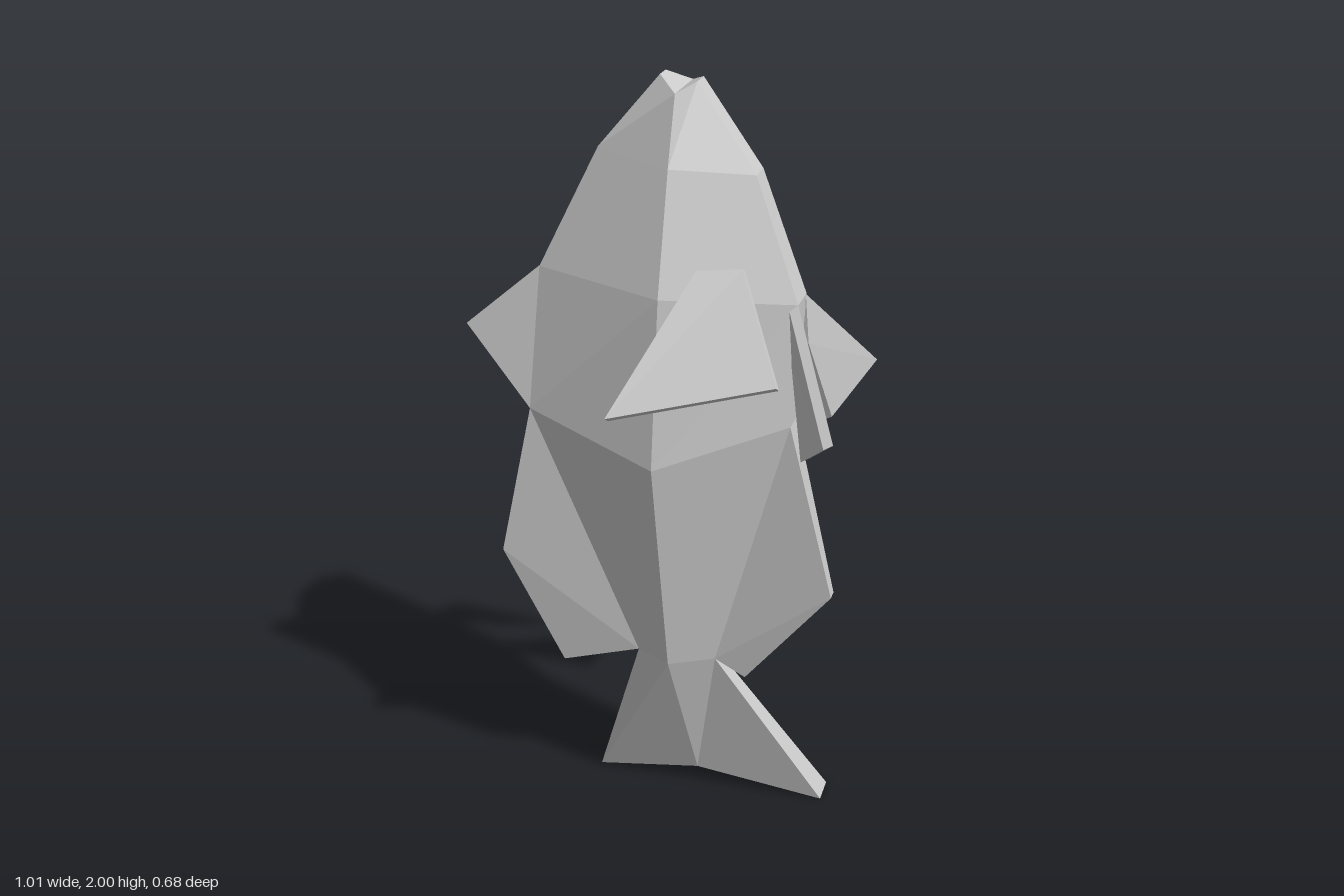
import * as THREE from 'three';

const material = new THREE.MeshStandardMaterial({ color: 0xcccccc, flatShading: true });

// Closed faceted solid through rings of equal point count, wound outward.
function loft(name, rings) {
  const n = rings[0].length, tris = [];
  for (let i = 0; i < rings.length - 1; i++) {
    const r = rings[i], s = rings[i + 1];
    for (let j = 0; j < n; j++) {
      const k = (j + 1) % n;
      tris.push([r[j], s[j], r[k]], [r[k], s[j], s[k]]);
    }
  }
  const end = rings[rings.length - 1];
  for (let j = 1; j < n - 1; j++) {
    const a = (1 + j) % n, b = (2 + j) % n;
    tris.push([rings[0][1], rings[0][a], rings[0][b]], [end[1], end[b], end[a]]);
  }
  // Signed volume tells whether the winding must be reversed
  let volume = 0;
  const v = (p) => new THREE.Vector3(...p);
  for (const [a, b, c] of tris) volume += v(a).dot(v(b).cross(v(c)));
  if (volume < 0) tris.forEach((t) => t.reverse());
  const geometry = new THREE.BufferGeometry();
  geometry.setAttribute('position', new THREE.Float32BufferAttribute(tris.flat(2), 3));
  geometry.computeVertexNormals();
  const mesh = new THREE.Mesh(geometry, material);
  mesh.name = name;
  return mesh;
}

// Six-sided section: back edge, near flank, belly edge, far flank.
// Each entry is [x, y, z front, z rear].
function section(back, flank, belly) {
  const front = (p) => [p[0], p[1], p[2]], rear = (p) => [p[0], p[1], p[3]];
  return [front(back), front(flank), front(belly), rear(belly), rear(flank), rear(back)];
}

// Flat fin in the body's middle plane; points are [x, y, z front, z rear].
function medianFin(name, points) {
  return loft(name, [
    points.map(([x, y, z]) => [x, y, z]),
    points.map(([x, y, , z]) => [x, y, z]),
  ]);
}

// Pair of fins mirrored to both flanks; offset gives the thickness.
function pairedFins(name, points, offset, farScale) {
  const pair = new THREE.Group();
  pair.name = name + 's';
  const inner = points.map((p) => p.map((c, i) => c + offset[i]));
  for (const [side, scale] of [['near', 1], ['far', -farScale]]) {
    const place = (ring) => ring.map(([x, y, z]) => [x, y, z * scale]);
    pair.add(loft(side + name, [place(points), place(inner)]));
  }
  return pair;
}

export function createModel() {
  const fish = new THREE.Group();
  fish.name = 'fish';

  // Body from mouth down to the narrow tail root
  const tailRoot = section([-0.05, 0.46, 0.03, -0.015], [0.045, 0.455, 0.08, -0.065], [0.16, 0.46, 0.025, -0.015]);
  fish.add(loft('body', [
    section([-0.01, 2.0, -0.035, -0.085], [0.045, 1.97, 0.03, -0.135], [0.085, 1.99, -0.025, -0.085]),
    section([-0.16, 1.82, -0.01, -0.065], [0.042, 1.8, 0.08, -0.137], [0.24, 1.78, 0.0, -0.07]),
    section([-0.31, 1.51, 0.015, -0.025], [0.04, 1.5, 0.16, -0.18], [0.36, 1.48, 0.045, -0.05]),
    section([-0.33, 1.14, 0.06, 0.0], [0.03, 1.06, 0.185, -0.155], [0.355, 1.17, 0.07, 0.0]),
    tailRoot,
  ]));

  // Tail fin, swept to the rear
  fish.add(loft('tailFin', [
    tailRoot,
    section([-0.195, 0.005, -0.08, -0.145], [0.09, 0.05, -0.07, -0.135], [0.44, 0.0, -0.08, -0.165]),
  ]));

  // Fins along the back and belly edges
  fish.add(medianFin('frontDorsalFin', [
    [-0.31, 1.51, 0.015, -0.025], [-0.51, 1.34, 0.02, 0.0], [-0.33, 1.14, 0.06, 0.0],
  ]));
  fish.add(medianFin('rearDorsalFin', [
    [-0.33, 1.14, 0.06, 0.0], [-0.42, 0.72, 0.055, 0.035], [-0.265, 0.39, 0.02, 0.0], [-0.05, 0.46, 0.03, -0.015],
  ]));
  fish.add(medianFin('analFin', [
    [0.355, 1.17, 0.07, 0.0], [0.47, 0.7, 0.05, 0.015], [0.24, 0.41, 0.015, 0.0], [0.16, 0.46, 0.025, -0.015],
  ]));

  // Paired fins on the flanks and under the belly
  fish.add(pairedFins('PectoralFin', [
    [0.125, 1.57, 0.125], [0.235, 1.58, 0.108], [0.36, 1.35, 0.27], [-0.04, 1.255, 0.34],
  ], [0.003, -0.012, -0.018], 1));
  fish.add(pairedFins('PelvicFin', [
    [0.36, 1.48, 0.045], [0.505, 1.235, 0.3], [0.42, 1.125, 0.14], [0.37, 1.35, 0.05],
  ], [-0.022, -0.012, 0.004], 0.95));

  return fish;
}
